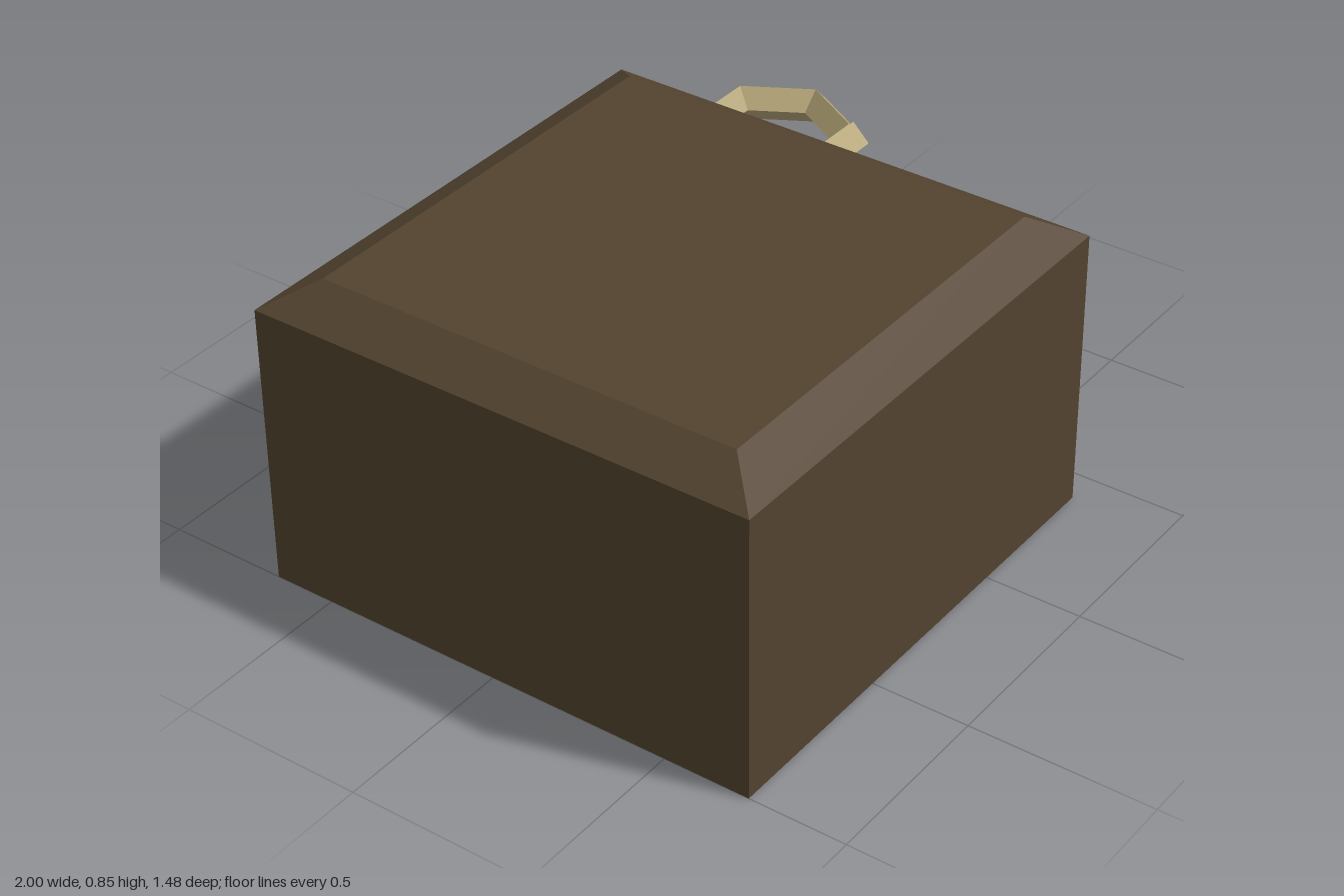
import * as THREE from 'three';

export function createModel() {
  const model = new THREE.Group();
  const wood = new THREE.MeshStandardMaterial({ color: 0x53432f, flatShading: true });
  wood.name = 'dark wood';
  const brass = new THREE.MeshStandardMaterial({ color: 0xb3a476, flatShading: true });
  brass.name = 'brass';

  const add = (name, geometry, material, x, y, z) => {
    const mesh = new THREE.Mesh(geometry, material);
    mesh.name = name;
    mesh.position.set(x, y, z);
    model.add(mesh);
    return mesh;
  };
  // Rod lying along x
  const rod = (radius, length, sides) =>
    new THREE.CylinderGeometry(radius, radius, length, sides).rotateZ(Math.PI / 2);

  const size = 1.406, height = 0.775, cx = -0.297, cz = 0.033;
  const right = cx + size / 2, left = cx - size / 2;
  const axleY = 0.495, axleZ = -0.25, recess = 0.16;

  // Main body, stopping short of the crank side
  add('body', new THREE.BoxGeometry(size - recess, height, size), wood,
    left + (size - recess) / 2, height / 2, cz);

  // Crank side wall with an eight-sided axle hole
  const wall = new THREE.Shape([
    new THREE.Vector2(-size / 2, 0), new THREE.Vector2(size / 2, 0),
    new THREE.Vector2(size / 2, height), new THREE.Vector2(-size / 2, height),
  ]);
  const hole = [];
  for (let i = 0; i < 8; i++) {
    const a = -i * Math.PI / 4;
    hole.push(new THREE.Vector2(cz - axleZ + 0.07 * Math.cos(a), axleY + 0.07 * Math.sin(a)));
  }
  wall.holes.push(new THREE.Path(hole));
  add('crankWall',
    new THREE.ExtrudeGeometry(wall, { depth: recess, bevelEnabled: false }).rotateY(Math.PI / 2),
    wood, right - recess, 0, cz);

  // Bevelled lid
  const diagonal = Math.SQRT1_2;
  add('lid', new THREE.CylinderGeometry((size - 0.23) * diagonal, size * diagonal, 0.07, 4)
    .rotateY(Math.PI / 4), wood, cx, height + 0.035, cz);

  // Axle end inside the hole
  add('axle', rod(0.07, 0.02, 8), brass, right - recess + 0.01, axleY, axleZ);

  // Crank: diamond-section bar and hexagonal ring
  const barStart = right - recess, barEnd = 0.865;
  add('crankBar', rod(0.05, barEnd - barStart, 4), brass, (barStart + barEnd) / 2, axleY, axleZ);
  add('crankRing', new THREE.TorusGeometry(0.205, 0.05, 4, 6).rotateX(Math.PI / 2), brass,
    0.745, axleY, -0.43);

  // Hinge rod half sunk into the back
  add('hinge', rod(0.07, 0.73, 8), brass, cx, axleY, cz - size / 2);

  return model;
}
